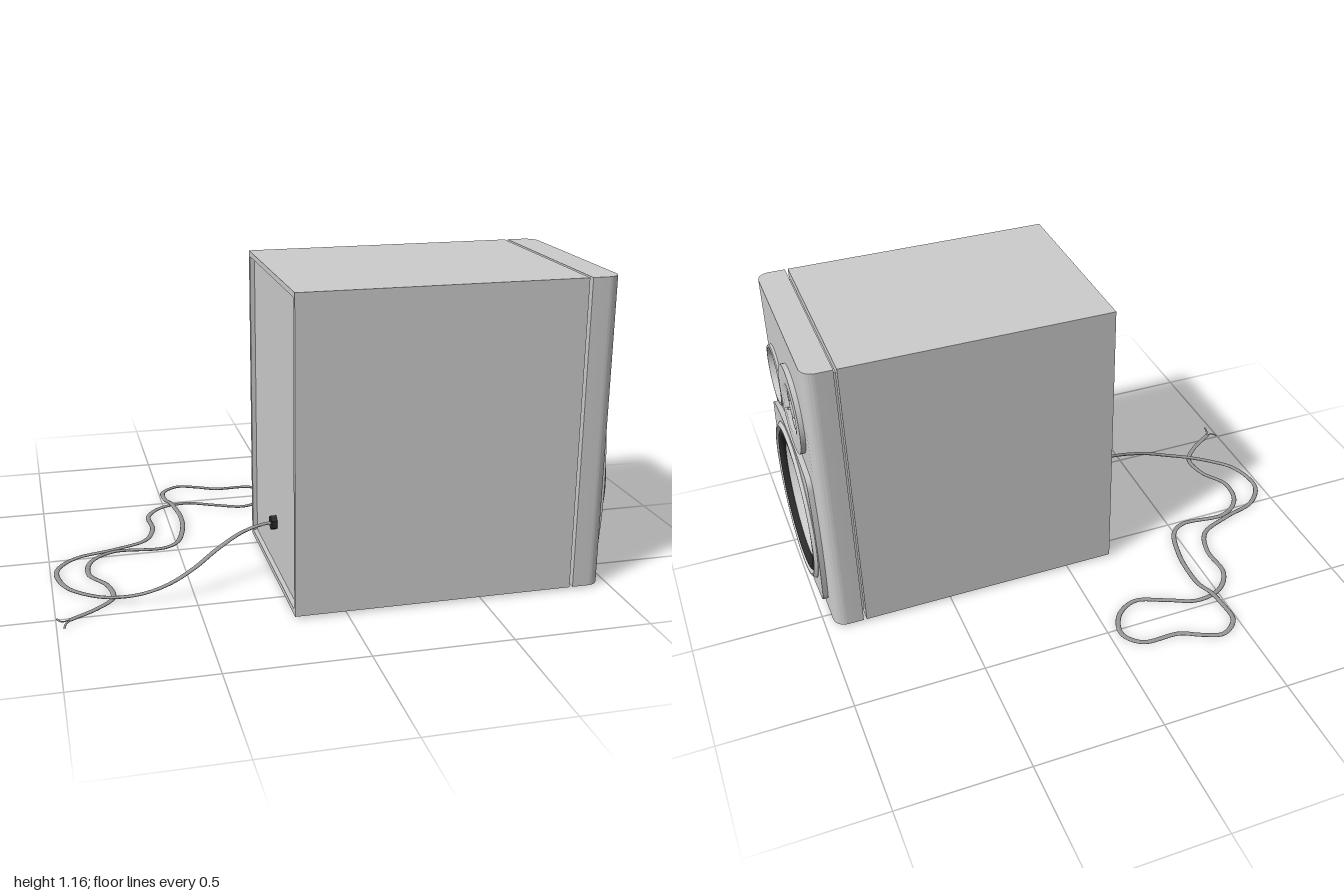
import * as THREE from 'three';
import { toCreasedNormals } from 'three/addons/utils/BufferGeometryUtils.js';

const mat = (name, color) => {
  const m = new THREE.MeshStandardMaterial({ color });
  m.name = name;
  return m;
};

export function createModel() {
  const grey = mat('cabinet grey', 0xcccccc);
  const black = mat('rubber black', 0x2a2a2a);
  const cableGrey = mat('cable grey', 0x989898);

  const model = new THREE.Group();
  model.name = 'loudspeaker';
  // Built facing local +z, then turned so the baffle faces +x (local x = -z)
  const speaker = new THREE.Group();
  speaker.name = 'speaker';
  speaker.rotation.y = Math.PI / 2;
  model.add(speaker);

  const add = (name, geo, material, x = 0, y = 0, z = 0, parent = speaker) => {
    const m = new THREE.Mesh(geo, material);
    m.name = name;
    m.position.set(x, y, z);
    parent.add(m);
    return m;
  };
  const extrude = (shape, depth, curveSegments = 32) => toCreasedNormals(
    new THREE.ExtrudeGeometry(shape, { depth, bevelEnabled: false, curveSegments }), 0.6);
  const rect = (x0, y0, x1, y1) => new THREE.Shape([[x0, y0], [x1, y0], [x1, y1], [x0, y1]]
    .map(p => new THREE.Vector2(...p)));
  const hole = (shape, x, y, r) => {
    shape.holes.push(new THREE.Path().absarc(x, y, r, 0, Math.PI * 2, true));
  };
  // Turned part facing +z; points run from outside to centre as [radius, z]
  const turned = (name, pts, material, x, y) => {
    const g = new THREE.LatheGeometry(pts.map(p => new THREE.Vector2(...p)), 64);
    g.rotateX(Math.PI / 2);
    return add(name, toCreasedNormals(g, 0.6), material, x, y);
  };

  const L = -0.682, R = 0.087, B = 0.008, T = 1.159, mid = (L + R) / 2, cy = (B + T) / 2;
  const woofer = [-0.3, 0.359], port = [-0.497, 0.82], tweeter = [-0.178, 0.864];

  // Cabinet shell with a recessed back, and the deep seam behind the baffle
  const rim = 0.02, back = -0.187, seam = 0.03;
  const shell = rect(L, B, R, T);
  shell.holes.push(rect(L + rim, B + rim, R - rim, T - rim));
  add('cabinetShell', extrude(shell, 0.843 - back), grey, 0, 0, back);
  add('cabinetCore', new THREE.BoxGeometry(R - L - 2 * rim, T - B - 2 * rim, 1.013), grey, mid, cy, 0.3365);
  add('seam', new THREE.BoxGeometry(R - L - 2 * seam, T - B - 2 * seam, 0.02), grey, mid, cy, 0.849);

  // Baffle: pierced flat centre plus two rounded side strips
  const r = 0.05, z0 = 0.855, z1 = 0.965;
  const face = rect(L + r, B, R - r, T);
  hole(face, ...woofer, 0.3);
  hole(face, ...port, 0.112);
  hole(face, ...tweeter, 0.1);
  add('baffle', extrude(face, z1 - z0), grey, 0, 0, z0);
  for (const s of [-1, 1]) {
    const edge = s > 0 ? R - r : L + r;
    const strip = new THREE.Shape();
    strip.moveTo(edge, -z0);
    strip.lineTo(edge + s * r, -z0);
    strip.lineTo(edge + s * r, r - z1);
    strip.absarc(edge, r - z1, r, s > 0 ? 0 : Math.PI, -Math.PI / 2, s > 0);
    const g = extrude(strip, T - B, 12);
    g.rotateX(-Math.PI / 2);
    add('baffleEdge', g, grey, 0, B, 0);
  }

  // Woofer: bulged square plate, trim ring, rubber surround, cone and dome
  const plate = new THREE.Shape();
  plate.moveTo(-0.25, 0.3);
  for (let i = 0; i < 4; i++) {
    const c = Math.round(Math.cos(i * Math.PI / 2)), s = Math.round(Math.sin(i * Math.PI / 2));
    const p = (x, y) => [x * c + y * s, y * c - x * s];
    plate.quadraticCurveTo(...p(0, 0.345), ...p(0.25, 0.3));
    plate.quadraticCurveTo(...p(0.295, 0.295), ...p(0.3, 0.25));
  }
  hole(plate, 0, 0, 0.3);
  add('wooferPlate', extrude(plate, 0.025), grey, ...woofer, 0.96);
  turned('wooferRing', [[0.315, 0.98], [0.315, 0.987], [0.302, 0.999], [0.296, 0.999], [0.289, 0.985],
    [0.289, 0.96]], grey, ...woofer);
  add('wooferSurround', new THREE.TorusGeometry(0.269, 0.022, 16, 64), black, ...woofer, 0.974);
  turned('wooferCone', [[0.252, 0.975], [0.2, 0.943], [0.15, 0.91], [0.1, 0.875]], grey, ...woofer);
  const dome = [];
  for (let i = 0; i <= 12; i++) {
    const a = i / 12 * Math.PI / 2;
    dome.push([0.11 * Math.cos(a), 0.88 + 0.06 * Math.sin(a)]);
  }
  turned('wooferDome', dome, grey, ...woofer);

  // Bass port
  turned('port', [[0.12, 0.96], [0.12, 0.975], [0.117, 0.979], [0.109, 0.979], [0.106, 0.972],
    [0.104, 0.86], [0, 0.86]], grey, ...port);

  // Tweeter: flat disc with a shallow dish, low centre cap and three struts
  turned('tweeterDisc', [[0.168, 0.96], [0.168, 0.983], [0.105, 0.983], [0.095, 0.982], [0.083, 0.978],
    [0.07, 0.971], [0.062, 0.971], [0.045, 0.975], [0.02, 0.978], [0, 0.979]], grey, ...tweeter);
  for (let i = 0; i < 3; i++) {
    const a = Math.PI / 2 + i * Math.PI * 2 / 3;
    const strut = add('tweeterStrut', new THREE.BoxGeometry(0.044, 0.008, 0.02), grey,
      tweeter[0] + 0.06 * Math.cos(a), tweeter[1] + 0.06 * Math.sin(a), 0.972);
    strut.rotation.z = a;
  }

  // Cable gland on the back
  const gland = new THREE.CylinderGeometry(0.028, 0.028, 0.024, 6);
  gland.rotateX(Math.PI / 2);
  add('cableGland', toCreasedNormals(gland, 0.5), black, -0.295, 0.205, -0.18);

  // Flat cable running down from the gland and looping over the floor
  const flat = 0.42, floor = 0.0042;
  const drop = [[-0.17, 0.295, 0.205], [-0.22, 0.3, 0.204], [-0.3, 0.32, 0.19], [-0.4, 0.358, 0.15],
    [-0.5, 0.405, 0.1], [-0.6, 0.43, 0.058], [-0.7, 0.42, 0.027], [-0.8, 0.385, 0.01], [-0.88, 0.33]];
  const run = [[-0.95, 0.25], [-0.975, 0.1], [-0.9, 0], [-0.75, -0.05], [-0.62, -0.11], [-0.575, -0.22],
    [-0.575, -0.36], [-0.51, -0.445], [-0.4, -0.47], [-0.28, -0.42], [-0.17, -0.38], [-0.08, -0.43],
    [-0.045, -0.53], [-0.1, -0.6], [-0.25, -0.61], [-0.33, -0.65], [-0.41, -0.675], [-0.48, -0.62],
    [-0.483, -0.53], [-0.467, -0.46, 0.014], [-0.45, -0.39], [-0.445, -0.33], [-0.455, -0.2], [-0.5, -0.06],
    [-0.56, -0.02], [-0.75, -0.03], [-0.84, 0.04], [-0.86, 0.16], [-0.8, 0.27], [-0.79, 0.38],
    [-0.85, 0.45], [-0.955, 0.52]];
  const wire = (name, pts, radius, segments) => {
    const curve = new THREE.CatmullRomCurve3(
      pts.map(([x, z, y = floor]) => new THREE.Vector3(x, y / flat, z)));
    const g = new THREE.TubeGeometry(curve, segments, radius, 10);
    g.scale(1, flat, 1);
    // Rest on the floor where the curve would dip below it
    const p = g.attributes.position;
    for (let i = 0; i < p.count; i++) p.setY(i, Math.max(0, p.getY(i)));
    add(name, g, cableGrey, 0, 0, 0, model);
  };
  wire('cable', [...drop, ...run], 0.01, 320);
  wire('cableEnd', [[-0.95, 0.517], [-0.98, 0.525], [-0.996, 0.5]], 0.004, 12);
  wire('cableEnd', [[-0.95, 0.523], [-0.965, 0.54], [-0.975, 0.58]], 0.004, 12);

  return model;
}
